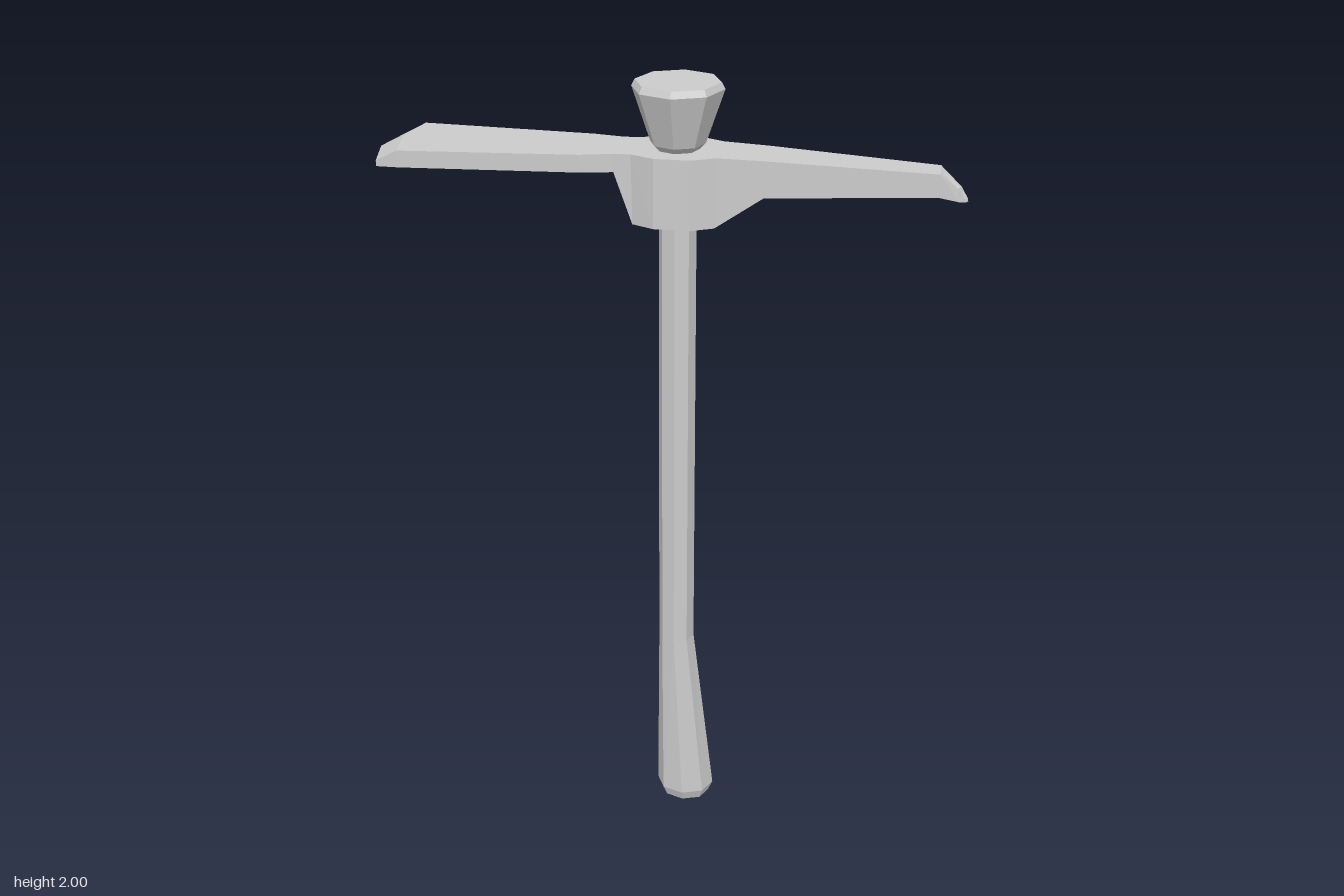
import * as THREE from 'three';

// Skin a list of equal-length rings (counter-clockwise seen along the travel direction), with end caps.
function loft(name, rings) {
  const pos = [];
  const tri = (...pts) => pts.forEach((p) => pos.push(...p));
  const n = rings[0].length;
  for (let r = 0; r < rings.length - 1; r++) {
    const a = rings[r], b = rings[r + 1];
    for (let i = 0; i < n; i++) {
      const j = (i + 1) % n;
      tri(a[i], a[j], b[j]);
      tri(a[i], b[j], b[i]);
    }
  }
  const first = rings[0], last = rings[rings.length - 1];
  for (let k = 1; k < n - 1; k++) {
    const i = (1 + k) % n, j = (2 + k) % n;
    tri(first[1], first[j], first[i]);
    tri(last[1], last[i], last[j]);
  }
  const geometry = new THREE.BufferGeometry();
  geometry.setAttribute('position', new THREE.Float32BufferAttribute(pos, 3));
  geometry.computeVertexNormals();
  const mesh = new THREE.Mesh(geometry, new THREE.MeshStandardMaterial({ color: 0xcccccc, flatShading: true }));
  mesh.name = name;
  return mesh;
}

// Horizontal octagon with corners on the axes.
function octagon([y, cx, cz, rx, rz]) {
  return Array.from({ length: 8 }, (_, i) => {
    const a = (i * Math.PI) / 4;
    return [cx + rx * Math.sin(a), y, cz + rz * Math.cos(a)];
  });
}

// Upright six-point section: top edge and bottom edge, with middle points that may reach further along x.
function section([xTop, yTop, xBottom, yBottom, half, midTop = 0, midBottom = midTop]) {
  return [
    [xTop, yTop, -half], [xTop + midTop, yTop, 0], [xTop, yTop, half],
    [xBottom, yBottom, half], [xBottom + midBottom, yBottom, 0], [xBottom, yBottom, -half],
  ];
}

export function createModel() {
  const group = new THREE.Group();
  group.name = 'pickaxe';

  // Shaft with a swollen grip that leans towards the pick side: y, centre x, centre z, radii
  group.add(loft('handle', [
    [0, 0.046, -0.01, 0.065, 0.052],
    [0.03, 0.046, -0.01, 0.077, 0.063],
    [0.53, 0.021, 0, 0.046, 0.045],
    [1.85, 0.021, 0, 0.044, 0.044],
  ].map(octagon)));

  // Flared top of the shaft
  group.add(loft('handleTop', [
    [1.845, 0.021, 0, 0.048, 0.048],
    [1.862, 0.021, 0, 0.064, 0.064],
    [1.985, 0.021, 0, 0.106, 0.106],
    [2, 0.021, 0, 0.098, 0.098],
  ].map(octagon)));

  // Head from the broad blade, through the hub, to the pick point
  group.add(loft('head', [
    [-0.655, 1.818, -0.655, 1.805, 0.113, -0.025],
    [-0.605, 1.844, -0.605, 1.805, 0.114, -0.02, 0],
    [-0.19, 1.846, -0.19, 1.805, 0.084],
    [-0.115, 1.847, -0.115, 1.805, 0.068],
    [-0.075, 1.848, -0.073, 1.685, 0.068],
    [-0.02, 1.848, -0.02, 1.685, 0.093],
    [0.062, 1.848, 0.062, 1.685, 0.093],
    [0.117, 1.848, 0.115, 1.685, 0.066],
    [0.22, 1.845, 0.225, 1.76, 0.06],
    [0.61, 1.827, 0.61, 1.774, 0.035],
    [0.65, 1.792, 0.655, 1.762, 0.021, 0.008],
    [0.668, 1.766, 0.67, 1.758, 0.008, 0.006],
  ].map(section)));

  return group;
}
